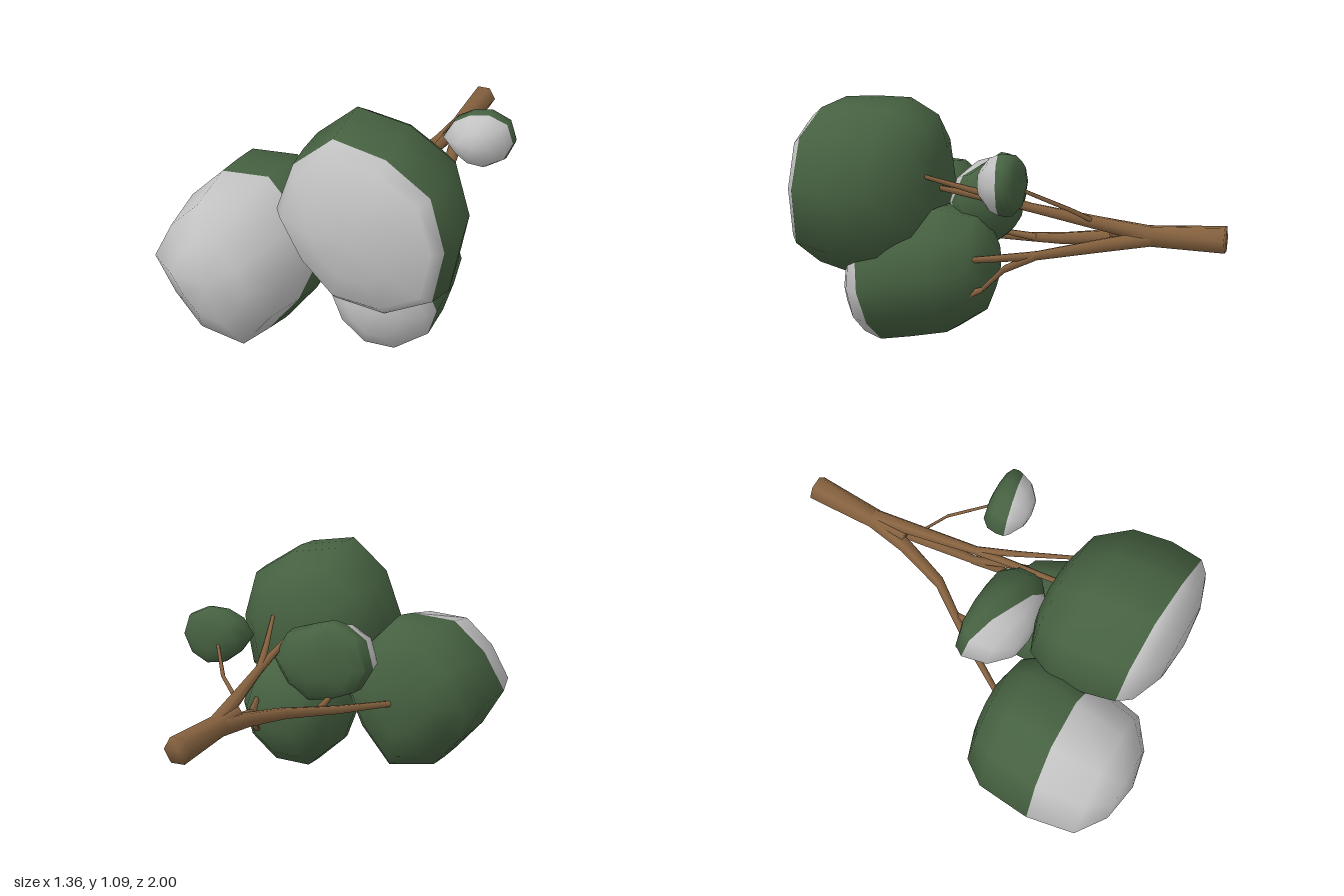
import * as THREE from 'three';

const leaf = new THREE.MeshStandardMaterial({ name: 'leaf green', color: 0x466141 });
const snow = new THREE.MeshStandardMaterial({ name: 'snow grey', color: 0xc2c2c2 });
const bark = new THREE.MeshStandardMaterial({ name: 'bark brown', color: 0x86623f });

// Skins closed rings ordered from back (-z) to front, with a tip at each end.
// Bands from snowRing forward use the second material.
function loft(rings, backTip, frontTip, materials, snowRing) {
  const n = rings[0].length;
  const back = rings.length * n, front = back + 1;
  const index = [];
  for (let j = 0; j < n; j++) index.push(back, (j + 1) % n, j);
  let split = 0;
  rings.forEach((ring, i) => {
    if (i === snowRing) split = index.length;
    for (let j = 0; j < n; j++) {
      const a = i * n + j, b = i * n + (j + 1) % n;
      if (i === rings.length - 1) index.push(a, b, front);
      else index.push(a, b, b + n, a, b + n, a + n);
    }
  });
  const geometry = new THREE.BufferGeometry();
  const points = [...rings.flat(), backTip, frontTip].flat();
  geometry.setAttribute('position', new THREE.Float32BufferAttribute(points, 3));
  geometry.setIndex(index);
  geometry.computeVertexNormals();
  if (split) {
    geometry.addGroup(0, split, 0);
    geometry.addGroup(split, index.length - split, 1);
  }
  return new THREE.Mesh(geometry, materials);
}

// Swelling of the leafy part: fraction of its depth, and scale.
const leafProfile = [[0.04, 0.4], [0.14, 0.76], [0.4, 0.97], [0.72, 1]];

// Leaf clump: silhouette radii at equal angles, scaled along z. The snow
// starts at the edge ring, which is scaled, shifted and leaning in x and y.
function clump(name, [cx, cy], radii, [back, edge, shoulder, front], scale, shift, lean, backShift) {
  const at = (z, s, drift, [dx, dy], tilt) => radii.map((r, j) => {
    const a = j / radii.length * Math.PI * 2;
    const x = r * s * Math.cos(a), y = r * s * Math.sin(a);
    return [cx + x + dx * drift, cy + y + dy * drift, z + tilt * (x * lean[0] + y * lean[1])];
  });
  const rings = [
    ...leafProfile.map(([t, s]) => at(back + (edge - back) * t, s, (1 - t) ** 2, backShift, t)),
    at(edge, scale, 1, shift, 1),
    at(shoulder, scale * 0.88, 1, shift, 0.5),
    at(shoulder + (front - shoulder) * 0.75, scale * 0.5, 1, shift, 0.2),
  ];
  const mesh = loft(rings, [cx + backShift[0], cy + backShift[1], back],
    [cx + shift[0], cy + shift[1], front], [leaf, snow], leafProfile.length);
  mesh.name = name;
  return mesh;
}

// Six-sided limb along a path, tapering evenly from r0 to r1.
function limb(name, r0, r1, ...path) {
  const rings = path.map(([x, y, z], i) => {
    const r = THREE.MathUtils.lerp(r0, r1, i / (path.length - 1));
    return Array.from({ length: 6 }, (_, j) => {
      const a = j * Math.PI / 3;
      return [x + r * Math.cos(a), y + r * Math.sin(a), z];
    });
  });
  const mesh = loft(rings, path[0], path.at(-1), bark);
  mesh.name = name;
  return mesh;
}

export function createModel() {
  const model = new THREE.Group();
  model.name = 'snowyTree';

  // Foliage
  model.add(
    clump('upperClump', [0.28, 0.7], [0.395, 0.4, 0.38, 0.42, 0.4, 0.41, 0.36, 0.39, 0.4, 0.43],
      [0.25, 0.78, 0.83, 0.9], 0.94, [0, 0.02], [0.06, -0.03], [-0.08, 0.02]),
    clump('rightClump', [-0.31, 0.42], [0.36, 0.34, 0.38, 0.36, 0.33, 0.37, 0.32, 0.37, 0.41, 0.34],
      [0.23, 0.65, 0.87, 1], 0.97, [-0.02, 0], [0, -0.1], [0, 0]),
    clump('lowerClump', [0.28, 0.31], [0.28, 0.28, 0.31, 0.31, 0.28, 0.28, 0.28, 0.3, 0.29, 0.28],
      [0.01, 0.56, 0.62, 0.69], 0.88, [0.01, -0.05], [0, 0.18], [-0.08, 0.06]),
    clump('innerClump', [0.03, 0.63], [0.26, 0.22, 0.18, 0.22, 0.25, 0.25, 0.21, 0.18, 0.2, 0.22],
      [-0.02, 0.14, 0.21, 0.28], 0.88, [-0.05, 0], [0.4, 0], [0, 0]),
    clump('smallClump', [0.47, 0.76], [0.16, 0.16, 0.14, 0.13, 0.14, 0.16, 0.13, 0.13, 0.14, 0.15],
      [-0.19, -0.08, -0.045, 0.01], 0.96, [0, 0], [-0.2, 0], [0, 0]),
  );

  // Trunk and branches
  const fork = [0.18, 0.52, -0.72];
  const upperFork = [0.24, 0.63, -0.15];
  const lowerFork = [0.27, 0.42, -0.18];
  const twigFork = [0.36, 0.27, 0.04];
  model.add(
    limb('trunk', 0.063, 0.035, [0.18, 0.52, -1], [0.18, 0.52, -0.66], [0.18, 0.53, -0.5]),
    limb('rightBranch', 0.042, 0.015, fork, [0.14, 0.5, -0.48], [0.07, 0.47, -0.25],
      [-0.09, 0.44, -0.02], [-0.27, 0.41, 0.28]),
    limb('rightTwig', 0.02, 0.01, [-0.03, 0.45, -0.1], [-0.02, 0.48, 0.12]),
    limb('upperBranch', 0.042, 0.012, fork, [0.21, 0.57, -0.45], upperFork, [0.27, 0.71, 0.3]),
    limb('upperTwig', 0.023, 0.01, upperFork, [0.3, 0.69, 0.04], [0.39, 0.77, 0.3]),
    limb('lowerBranch', 0.042, 0.012, fork, [0.22, 0.47, -0.45], lowerFork, [0.41, 0.4, 0.17]),
    limb('lowerTwig', 0.025, 0.008, lowerFork, [0.31, 0.36, -0.05], twigFork, [0.44, 0.19, 0.2]),
    limb('lowerTwigFork', 0.016, 0.008, twigFork, [0.38, 0.23, 0.2]),
    limb('smallTwig', 0.013, 0.009, [0.22, 0.58, -0.43], [0.32, 0.64, -0.35], [0.45, 0.74, -0.16]),
  );
  return model;
}
